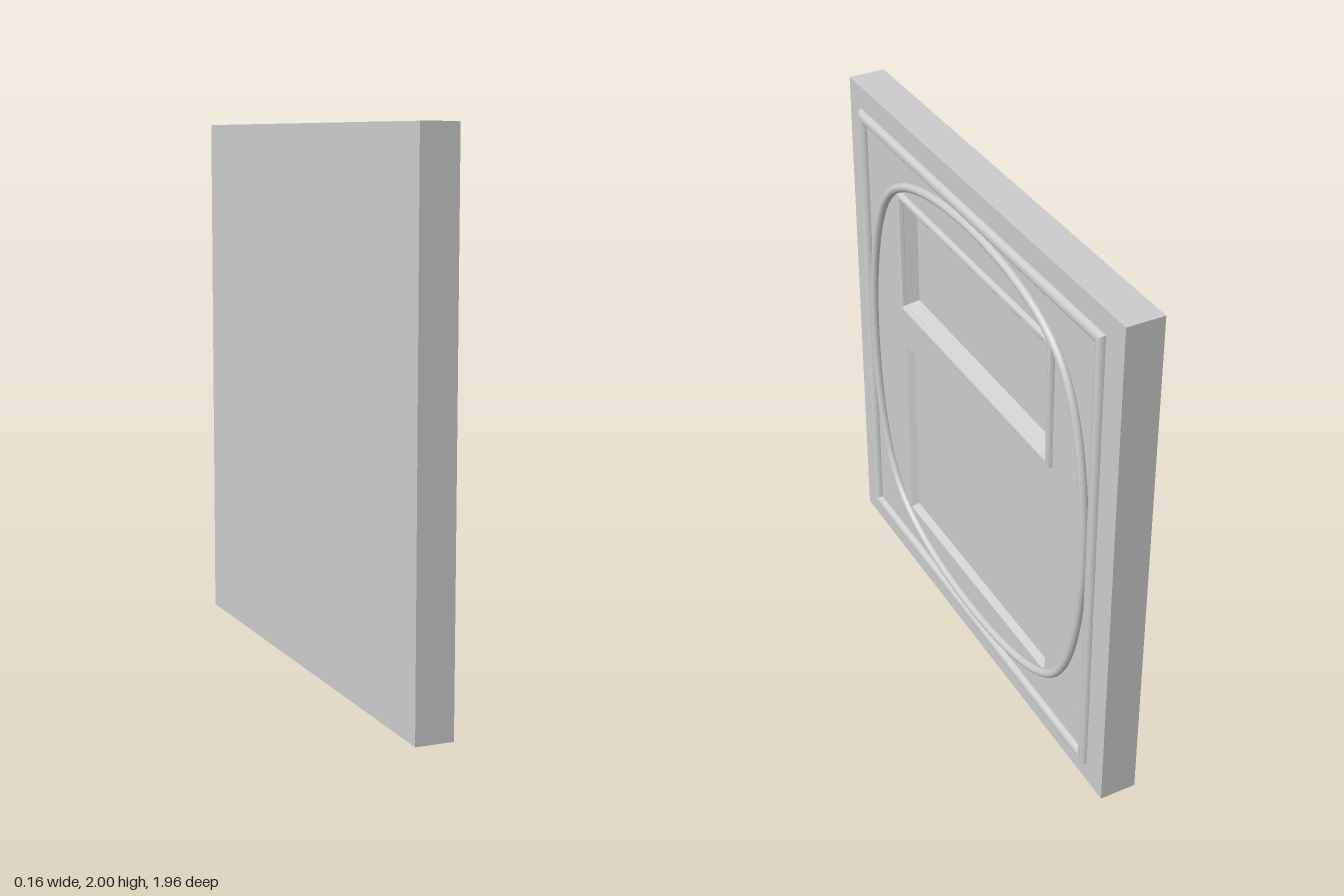
import * as THREE from 'three';
import { toCreasedNormals } from 'three/addons/utils/BufferGeometryUtils.js';

const FACE = 0.055, BACK = -0.085;

// Sweeps a profile of [inset, depth] pairs round a rectangle; inset null closes to the centre
function rectSweep([x0, x1, y0, y1], profile) {
  const cx = (x0 + x1) / 2, cy = (y0 + y1) / 2;
  const rings = profile.map(([i, d]) => i === null
    ? [0, 1, 2, 3].map(() => [cx, cy, d])
    : [[x0 + i, y0 + i, d], [x1 - i, y0 + i, d], [x1 - i, y1 - i, d], [x0 + i, y1 - i, d]]);
  const pos = [];
  for (let r = 0; r < rings.length - 1; r++) {
    const a = rings[r], b = rings[r + 1];
    for (let k = 0; k < 4; k++) {
      const n = (k + 1) % 4;
      if (profile[r][0] !== null) pos.push(...a[k], ...a[n], ...b[n]);
      if (profile[r + 1][0] !== null) pos.push(...a[k], ...b[n], ...b[k]);
    }
  }
  // A closing cap needs only one triangle per side
  const g = new THREE.BufferGeometry();
  g.setAttribute('position', new THREE.Float32BufferAttribute(pos, 3));
  return toCreasedNormals(g, 0.6);
}

// Half-round moulding profile, from the outer edge to the inner edge
function moulding(width, height, steps = 10) {
  const pts = [];
  for (let s = 0; s <= steps; s++) {
    const t = Math.PI * s / steps;
    pts.push([width / 2 * (1 - Math.cos(t)), FACE + height * Math.sin(t)]);
  }
  return pts;
}

function rectPath([x0, x1, y0, y1], Type) {
  return new Type([[x0, y0], [x1, y0], [x1, y1], [x0, y1]].map(p => new THREE.Vector2(...p)));
}

export function createModel() {
  const model = new THREE.Group();
  model.name = 'decoratedPanel';
  const material = new THREE.MeshStandardMaterial({ color: 0xcccccc });
  const add = (name, geometry) => {
    const mesh = new THREE.Mesh(geometry, material);
    mesh.name = name;
    model.add(mesh);
  };

  const slab = [-0.98, 0.98, 0, 2];
  const border = [-0.885, 0.873, 0.077, 1.912];
  const windowFrame = [-0.57, 0.575, 1.215, 1.72];
  const windowOpening = [-0.542, 0.547, 1.243, 1.692];
  const lowerOpening = [-0.55, 0.558, 0.27, 1.055];

  // Slab back and edges, then the front face with two openings
  add('slab', rectSweep(slab, [[null, BACK], [0, BACK], [0, FACE]]));
  const face = rectPath(slab, THREE.Shape);
  face.holes.push(rectPath(windowOpening, THREE.Path), rectPath(lowerOpening, THREE.Path));
  add('frontFace', new THREE.ShapeGeometry(face).translate(0, 0, FACE));

  // Recessed panels with sloping sides
  add('windowRecess', rectSweep(windowOpening, [[0, FACE], [0.022, 0.01], [null, 0.01]]));
  add('lowerRecess', rectSweep(lowerOpening, [[0, FACE], [0.024, 0.031], [null, 0.031]]));

  // Raised mouldings
  add('borderMoulding', rectSweep(border, moulding(0.046, 0.021)));
  add('windowMoulding', rectSweep(windowFrame, moulding(0.03, 0.018)));

  // Rounded oval bead
  const cx = -0.005, cy = 1, rx = 0.813, ry = 0.85, kx = 0.635, ky = 0.675;
  const outline = [[rx, 0], [kx, ky], [0, ry], [-kx, ky], [-rx, 0], [-kx, -ky], [0, -ry], [kx, -ky]]
    .map(([x, y]) => new THREE.Vector3(cx + x, cy + y, FACE + 0.008));
  const curve = new THREE.CatmullRomCurve3(outline, true);
  add('ovalBead', new THREE.TubeGeometry(curve, 128, 0.017, 12, true));

  // Turn the decorated face towards +x
  model.rotation.y = Math.PI / 2;
  const root = new THREE.Group();
  root.name = 'panel';
  root.add(model);
  return root;
}
